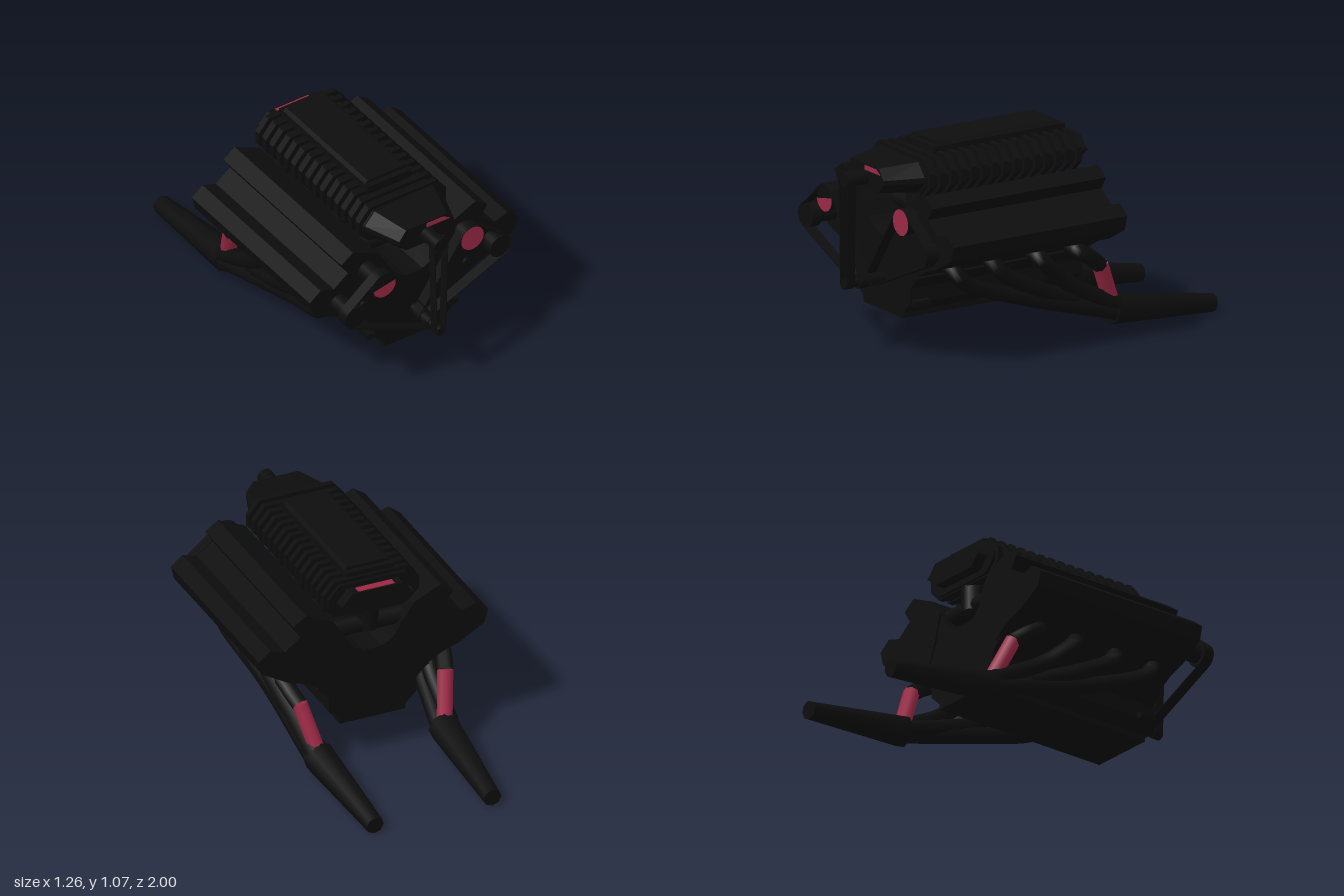
import * as THREE from 'three';

const black = new THREE.MeshStandardMaterial({ color: 0x0d0d0d, side: THREE.DoubleSide });
black.name = 'engine black';
const crimson = new THREE.MeshStandardMaterial({ color: 0x9a2845, side: THREE.DoubleSide });
crimson.name = 'crimson';

const V = (x, y, z) => new THREE.Vector3(x, y, z);

export function createModel() {
  const model = new THREE.Group();
  model.name = 'engine';

  const add = (name, geometry, material = black) => {
    const mesh = new THREE.Mesh(geometry, material);
    mesh.name = name;
    model.add(mesh);
    return mesh;
  };
  const box = (name, x0, x1, y0, y1, z0, z1, material) =>
    add(name, new THREE.BoxGeometry(x1 - x0, y1 - y0, z1 - z0), material)
      .position.set((x0 + x1) / 2, (y0 + y1) / 2, (z0 + z1) / 2);

  // Straight prism along z from a front outline
  const prism = (points, z0, z1) => new THREE.ExtrudeGeometry(
    new THREE.Shape(points.map(([x, y]) => new THREE.Vector2(x, y))),
    { depth: z1 - z0, bevelEnabled: false }).translate(0, 0, z0);
  const mirrored = (half) => [...half, ...half.slice().reverse().map(([x, y]) => [-x, y])];

  // Round bar between two points
  const rod = (name, a, b, ra, rb, sides = 20, material = black) => {
    const dir = b.clone().sub(a);
    const mesh = add(name, new THREE.CylinderGeometry(rb, ra, dir.length(), sides), material);
    mesh.position.copy(a).add(b).multiplyScalar(0.5);
    mesh.quaternion.setFromUnitVectors(V(0, 1, 0), dir.normalize());
  };

  // Thin belt around counter-clockwise pulleys [x, y, radius]
  const belt = (name, wheels, z0, z1) => {
    const n = wheels.length;
    const normals = wheels.map(([x, y, r], i) => {
      const [u, v, q] = wheels[(i + 1) % n];
      return Math.atan2(v - y, u - x) - Math.acos((r - q) / Math.hypot(u - x, v - y));
    });
    const loop = (path, inset) => {
      wheels.forEach(([x, y, r], i) =>
        path.absarc(x, y, r - inset, normals[(i + n - 1) % n], normals[i], false));
      return path;
    };
    const shape = loop(new THREE.Shape(), 0);
    shape.holes.push(loop(new THREE.Path(), 0.005));
    add(name, new THREE.ExtrudeGeometry(shape, { depth: z1 - z0, bevelEnabled: false, curveSegments: 10 })
      .translate(0, 0, z0));
  };

  // Block with oil pan and rounded valley
  add('block', prism(mirrored([
    [0, 0.215], [0.18, 0.215], [0.18, 0.245], [0.24, 0.3], [0.24, 0.38], [0.3, 0.44],
    [0.3, 0.6], [0.17, 0.74], [0.13, 0.67], [0.1, 0.635], [0.05, 0.61], [0, 0.605],
  ]), -0.27, 0.76));
  box('engineMount', -0.275, 0.275, 0.29, 0.32, 0.66, 0.75);

  for (const s of [1, -1]) {
    // Cylinder head with two-lobed cam cover
    add('cylinderHead', prism([
      [0.27, 0.43], [0.31, 0.45], [0.3, 0.455], [0.38, 0.5], [0.47, 0.53], [0.61, 0.61],
      [0.63, 0.685], [0.565, 0.735], [0.485, 0.71], [0.4, 0.775], [0.44, 0.84],
      [0.37, 0.89], [0.22, 0.82], [0.165, 0.735], [0.2, 0.6],
    ].map(([x, y]) => [s * x, y]), -0.28, 0.76));

    // Exhaust headers running back to the collector
    [0.62, 0.38, 0.12].forEach((z, i) => {
      const end = V(s * (0.345 + [0.03, -0.03, 0.03][i]), 0.11 + [0, 0.01, 0.04][i], -0.39);
      const path = new THREE.CatmullRomCurve3([
        V(s * 0.37, 0.51, z), V(s * 0.43, 0.48, z - 0.01), V(s * 0.428, 0.42, z - 0.07),
        V(s * (0.375 + i * 0.01), 0.275 + i * 0.015, THREE.MathUtils.lerp(z, -0.36, 0.45)), end,
      ]);
      add('exhaustHeader', new THREE.TubeGeometry(path, 24, 0.042, 8));
    });
    const bend = new THREE.CatmullRomCurve3([
      V(s * 0.37, 0.5, -0.11), V(s * 0.43, 0.48, -0.12), V(s * 0.425, 0.44, -0.19), V(s * 0.4, 0.38, -0.27),
    ]);
    add('rearHeader', new THREE.TubeGeometry(bend, 14, 0.042, 8));
    rod('rearHeaderPipe', V(s * 0.4, 0.385, -0.27), V(s * 0.345, 0.14, -0.38), 0.042, 0.042, 8, crimson);
    rod('tailPipe', V(s * 0.345, 0.125, -0.37), V(s * 0.322, 0.05, -0.995), 0.083, 0.048, 8);

    // Accessory pulleys and their belt, staggered left and right
    const z1 = s > 0 ? 0.85 : 0.92, z0 = z1 - 0.06;
    const wheels = [[0, 0.385, 0.035], [s * 0.46, 0.62, 0.065], [s * 0.29, 0.75, 0.07]];
    for (const [x, y, r] of wheels) {
      rod('pulleyShaft', V(x, y, 0.7), V(x, y, z0 + 0.01), r * 0.7, r * 0.7);
      rod('pulley', V(x, y, z0), V(x, y, z1 - 0.003), r - 0.004, r - 0.004, 24);
    }
    belt('accessoryBelt', s > 0 ? wheels : [wheels[0], wheels[2], wheels[1]], z0, z1);
    // Pulley face, only partly coloured on one side
    const face = s > 0 ? new THREE.CircleGeometry(0.068, 28)
      : new THREE.CircleGeometry(0.068, 20, Math.PI + 0.2, Math.PI);
    add('pulleyFace', face, crimson).position.set(s * 0.29, 0.75, z1 + 0.001);
    rod('idlerBolt', V(s * 0.31, 0.54, 0.74), V(s * 0.31, 0.54, 0.775), 0.02, 0.02, 12);
  }

  // Intake runners joining the supercharger to both heads
  for (const z of [0.55, 0.3, 0.05, -0.2]) {
    rod('intakeRunner', V(-0.2, 0.728, z), V(0.2, 0.728, z), 0.047, 0.047, 12);
    rod('intakeNeck', V(0, 0.7, z), V(0, 0.86, z), 0.06, 0.06, 12);
  }

  // Ribbed supercharger case
  const caseOutline = (w, y0, y1) => mirrored([
    [w - 0.06, y0], [w, y0 + 0.06], [w, y1 - 0.07], [w - 0.06, y1]]);
  add('superchargerCase', prism(caseOutline(0.242, 0.835, 1.01), -0.27, 0.67));
  for (let i = 0; i < 15; i++) {
    const z = -0.255 + i * 0.063;
    add('caseRib', prism(caseOutline(0.263, 0.828, 1.03), z, z + 0.03));
  }
  box('superchargerLid', -0.13, 0.13, 0.98, 1.055, -0.24, 0.54);
  add('lidTop', prism([[-0.13, 1.05], [0.13, 1.05], [0.11, 1.072], [-0.11, 1.072]], -0.21, 0.51));
  add('rearCover', prism(caseOutline(0.2, 0.865, 0.985), -0.33, -0.27));
  box('rearCoverPanel', -0.1, 0.1, 0.984, 0.988, -0.32, -0.28, crimson);
  for (const z of [0.138, 0.264]) box('ribInlay', 0.243, 0.247, 0.9, 0.935, z - 0.02, z - 0.005, crimson);

  // Tapered nose and its front plate
  const nose = prism(caseOutline(0.24, 0.85, 1.01), 0.66, 0.87);
  const p = nose.attributes.position;
  for (let i = 0; i < p.count; i++) {
    const t = (p.getZ(i) - 0.66) / 0.21;
    p.setXY(i, p.getX(i) * (1 - 0.31 * t), 0.93 + (p.getY(i) - 0.93) * (1 - 0.22 * t));
  }
  nose.computeVertexNormals();
  add('superchargerNose', nose);
  add('nosePanel', prism([[0, 0.96], [0.14, 0.96], [0.1, 0.984], [0, 0.984]], 0.869, 0.873), crimson);

  // Supercharger drive: two pulleys and a belt
  const drive = [[0, 0.385, 0.028], [0, 0.922, 0.042]];
  rod('driveShaftTop', V(0, 0.922, 0.85), V(0, 0.922, 0.998), 0.037, 0.037, 20);
  rod('driveShaftBottom', V(0, 0.385, 0.74), V(0, 0.385, 0.998), 0.024, 0.024, 20);
  belt('driveBelt', drive, 0.95, 1.0);

  return model;
}
